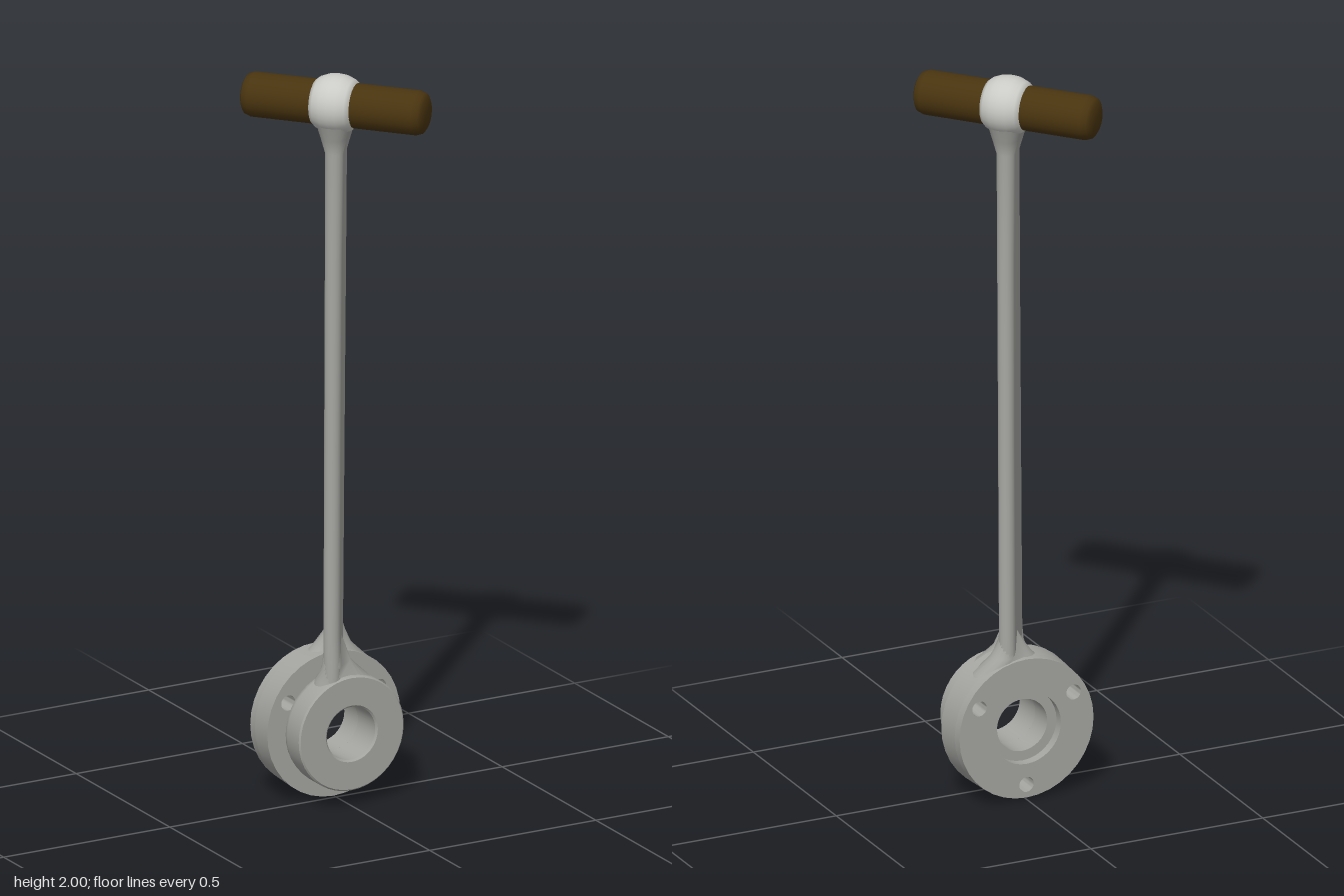
import * as THREE from 'three';
import { toCreasedNormals } from 'three/addons/utils/BufferGeometryUtils.js';

const mat = (name, color) => {
  const m = new THREE.MeshStandardMaterial({ color });
  m.name = name;
  return m;
};

// Surface through stacked stadium sections; each is [y, [px, pz], [qx, qz], radius]
function loft(sections, half = 8) {
  const pos = [], idx = [], n = 2 * (half + 1);
  for (const [y, p, q, r] of sections) {
    const phi = Math.atan2(q[1] - p[1], q[0] - p[0]);
    for (let k = 0; k < n; k++) {
      const end = k <= half ? q : p;
      const a = phi - Math.PI / 2 + Math.PI * (k <= half ? k / half : 1 + (k - half - 1) / half);
      pos.push(end[0] + r * Math.cos(a), y, end[1] + r * Math.sin(a));
    }
  }
  for (let i = 0; i < sections.length - 1; i++) {
    for (let k = 0; k < n; k++) {
      const a = i * n + k, b = i * n + (k + 1) % n;
      idx.push(a, a + n, b, b, a + n, b + n);
    }
  }
  const g = new THREE.BufferGeometry();
  g.setAttribute('position', new THREE.Float32BufferAttribute(pos, 3));
  g.setIndex(idx);
  g.computeVertexNormals();
  return g;
}

// Turned part from [radius, height] pairs
const turned = (pts, sides, crease = 0.6) => toCreasedNormals(
  new THREE.LatheGeometry(pts.map(([r, h]) => new THREE.Vector2(r, h)), sides), crease);

// Flat ring with a central bore and three bolt holes
function ringPlate(bore, z0, z1) {
  const shape = new THREE.Shape().absarc(0, 0, 0.2, 0, Math.PI * 2);
  shape.holes.push(new THREE.Path().absarc(0, 0, bore, 0, Math.PI * 2, true));
  for (const deg of [-90, 30, 150]) {
    const a = THREE.MathUtils.degToRad(deg);
    shape.holes.push(new THREE.Path().absarc(0.158 * Math.cos(a), 0.158 * Math.sin(a), 0.021, 0, Math.PI * 2, true));
  }
  const g = new THREE.ExtrudeGeometry(shape, { depth: z1 - z0, bevelEnabled: false, curveSegments: 18 });
  g.translate(0, 0, z0);
  // Slight taper of the rim toward the back
  const p = g.attributes.position;
  for (let i = 0; i < p.count; i++) {
    if (Math.hypot(p.getX(i), p.getY(i)) > 0.19) {
      const s = 1 - 0.25 * Math.max(0, -0.012 - p.getZ(i));
      p.setXY(i, p.getX(i) * s, p.getY(i) * s);
    }
  }
  return toCreasedNormals(g, 0.6);
}

export function createModel() {
  const model = new THREE.Group();
  const steel = mat('steel', 0xa4a4a0);
  const pale = mat('paleSteel', 0xcacac6);
  const wood = mat('darkWood', 0x49340f);

  const add = (name, geometry, material, parent = model) => {
    const m = new THREE.Mesh(geometry, material);
    m.name = name;
    parent.add(m);
    return m;
  };

  // Hub: drilled back ring with a recess, neck and front ring
  const hub = new THREE.Group();
  hub.name = 'hub';
  hub.position.y = 0.2;
  model.add(hub);
  add('backRingRim', ringPlate(0.1, -0.112, -0.085), steel, hub);
  add('backRing', ringPlate(0.073, -0.085, -0.012), steel, hub);
  const frontRing = turned([
    [0.073, -0.014], [0.135, -0.014], [0.135, -0.004], [0.145, -0.004], [0.155, 0.006],
    [0.158, 0.02], [0.158, 0.081], [0.154, 0.085], [0.078, 0.085], [0.073, 0.08], [0.073, -0.014],
  ], 40);
  frontRing.rotateX(Math.PI / 2);
  add('frontRing', frontRing, steel, hub);

  // Tapering lever arm, twisted so that it meets both rings
  add('arm', loft([
    [0.30, [-0.045, 0.059], [0.042, -0.083], 0.023],
    [0.40, [-0.045, 0.059], [0.042, -0.081], 0.023],
    [0.47, [-0.043, 0.054], [0.039, -0.076], 0.022],
    [1.00, [-0.032, 0.038], [0.029, -0.050], 0.022],
    [1.50, [-0.020, 0.022], [0.018, -0.024], 0.023],
    [1.79, [-0.012, 0.013], [0.012, -0.013], 0.025],
    [1.83, [-0.013, 0.012], [0.013, -0.012], 0.035],
    [1.87, [-0.016, 0.014], [0.016, -0.014], 0.045],
  ]), steel);

  // Flares blending the arm into each ring
  add('backFlare', loft([
    [0.32, [-0.060, -0.062], [0.095, -0.062], 0.048],
    [0.355, [-0.040, -0.062], [0.080, -0.062], 0.047],
    [0.40, [0.000, -0.060], [0.045, -0.070], 0.036],
    [0.46, [0.020, -0.046], [0.038, -0.075], 0.021],
  ]), steel);
  add('frontFlare', loft([
    [0.30, [-0.050, 0.041], [0.060, 0.041], 0.042],
    [0.345, [-0.040, 0.041], [0.030, 0.041], 0.041],
    [0.39, [-0.042, 0.055], [0.000, 0.025], 0.027],
    [0.46, [-0.042, 0.054], [-0.015, 0.010], 0.021],
  ]), steel);

  // Cross handle through a rounded collar; local y runs along the handle
  const grip = new THREE.Group();
  grip.name = 'crossHandle';
  grip.position.y = 1.92;
  grip.quaternion.setFromUnitVectors(new THREE.Vector3(0, 1, 0), new THREE.Vector3(0.655, 0, 0.755).normalize());
  model.add(grip);
  add('collar', turned([
    [0.04, -0.056], [0.06, -0.056], [0.069, -0.045], [0.078, -0.022], [0.08, 0],
    [0.078, 0.022], [0.069, 0.045], [0.06, 0.056], [0.04, 0.056],
  ], 32, 0.9), pale, grip);
  add('handle', turned([
    [0, -0.252], [0.042, -0.252], [0.054, -0.245], [0.06, -0.228],
    [0.06, 0.228], [0.054, 0.245], [0.042, 0.252], [0, 0.252],
  ], 24, 0.9), wood, grip);

  return model;
}
